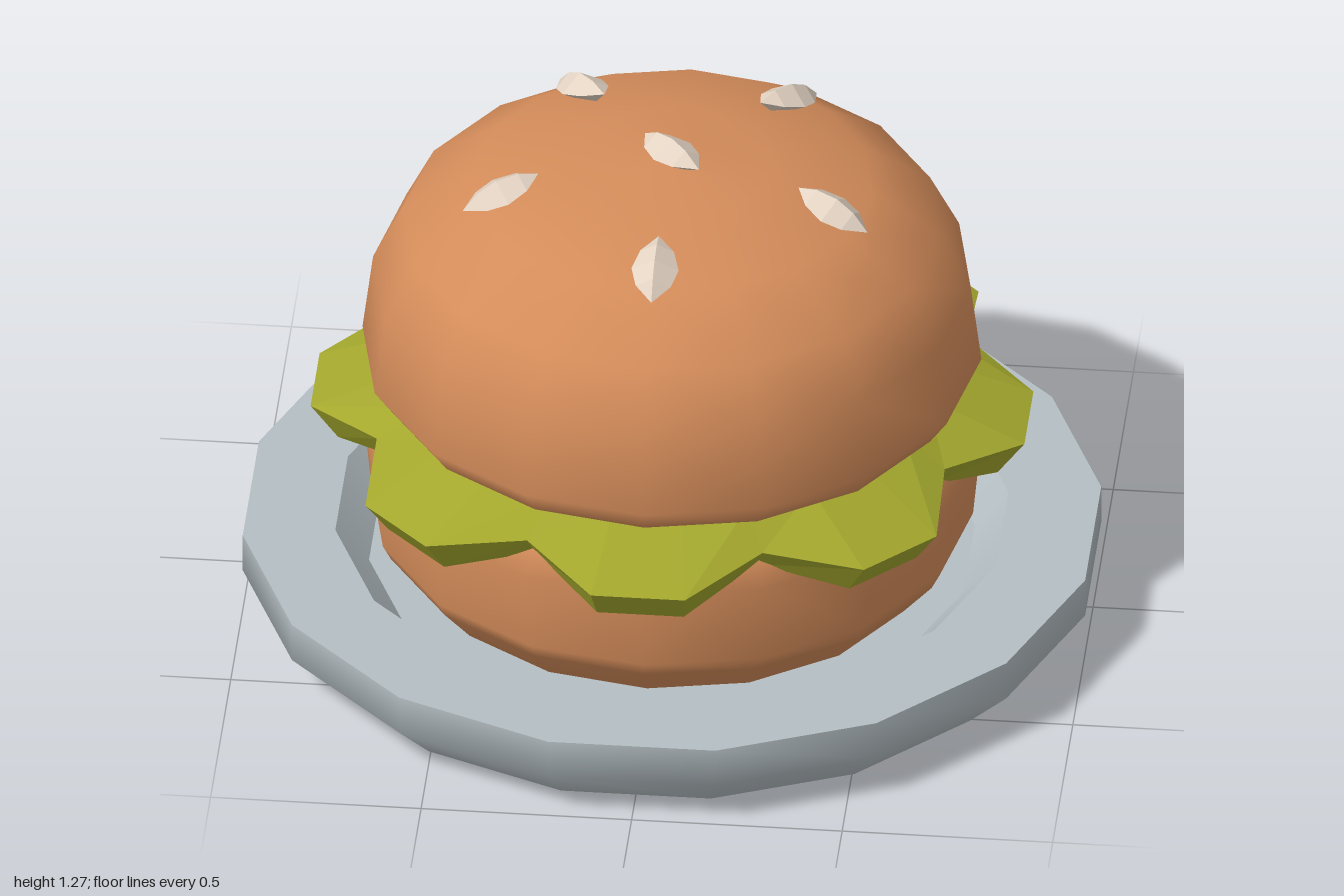
import * as THREE from 'three';
import { mergeGeometries } from 'three/addons/utils/BufferGeometryUtils.js';

const SIDES = 16;

// Each strip is smooth by itself; edges between strips stay sharp.
function turned(...strips) {
  return mergeGeometries(strips.map((strip) =>
    new THREE.LatheGeometry(strip.map(([r, y]) => new THREE.Vector2(r, y)), SIDES)));
}

// Wavy leaf: eight drooping lobes with raised valleys between them.
function leafGeometry() {
  const n = 24;
  const rings = [
    () => [0, 0.53],
    () => [0.62, 0.54],
    (valley) => (valley ? [0.685, 0.5] : [0.79, 0.44]),
    (valley) => (valley ? [0.73, 0.56] : [0.855, 0.53]),
    () => [0.62, 0.625],
    () => [0, 0.625],
  ];
  const positions = [];
  const index = [];
  rings.forEach((ring, i) => {
    for (let j = 0; j < n; j++) {
      const a = ((j + 0.5) / n) * Math.PI * 2;
      const [r, y] = ring(j % 3 === 1);
      positions.push(r * Math.sin(a), y, r * Math.cos(a));
      if (i === 0) continue;
      const k = (j + 1) % n;
      const low = (i - 1) * n;
      const high = i * n;
      if (i > 1) index.push(low + j, low + k, high + k);
      else index.push(low + j, high + k, high + j);
      if (i > 1 && i < rings.length - 1) index.push(low + j, high + k, high + j);
    }
  });
  const geometry = new THREE.BufferGeometry();
  geometry.setAttribute('position', new THREE.Float32BufferAttribute(positions, 3));
  geometry.setIndex(index);
  const flat = geometry.toNonIndexed();
  flat.computeVertexNormals();
  return flat;
}

export function createModel() {
  const group = new THREE.Group();
  const material = (name, color, flatShading = false) => {
    const m = new THREE.MeshStandardMaterial({ color, flatShading });
    m.name = name;
    return m;
  };
  const plateGrey = material('plateGrey', 0xb4bec2);
  const bunBrown = material('bunBrown', 0xd48c5a);
  const leafGreen = material('leafGreen', 0xa3a72d, true);
  const seedCream = material('seedCream', 0xe3d3c3, true);

  const add = (name, geometry, mat) => {
    const mesh = new THREE.Mesh(geometry, mat);
    mesh.name = name;
    group.add(mesh);
    return mesh;
  };

  // Plate with a bevelled foot, flat rim and sunken floor
  const plate = add('plate', turned(
    [[0, 0], [0.91, 0]],
    [[0.91, 0], [1.02, 0.11], [1.02, 0.21]],
    [[1.02, 0.21], [0.8, 0.21]],
    [[0.8, 0.21], [0.72, 0.12]],
    [[0.72, 0.12], [0, 0.12]],
  ), plateGrey);
  plate.rotation.y = Math.PI / SIDES;

  // Buns
  add('bottomBun', turned(
    [[0, 0.12], [0.62, 0.12]],
    [[0.62, 0.12], [0.695, 0.21], [0.715, 0.25], [0.735, 0.46], [0.7, 0.52]],
    [[0.7, 0.52], [0, 0.52]],
  ), bunBrown);
  add('topBun', turned(
    [[0, 0.62], [0.69, 0.625]],
    [[0.69, 0.625], [0.735, 0.69], [0.71, 0.89], [0.638, 1.035], [0.475, 1.15], [0.24, 1.202], [0, 1.22]],
  ), bunBrown);

  add('lettuce', leafGeometry(), leafGreen);

  // Four-sided pointed seeds: x, y, z, turn about the vertical, tilt of the outer end
  const seedShape = new THREE.LatheGeometry(
    [[0, -0.1], [0.04, -0.055], [0.056, 0], [0.042, 0.05], [0, 0.1]]
      .map(([r, y]) => new THREE.Vector2(r, y)), 4);
  seedShape.rotateX(Math.PI / 2).scale(1, 0.65, 1);
  const seeds = [
    [0, 1.235, 0, Math.PI / 4, 0],
    [0, 1.18, 0.42, 0, 0.32],
  ];
  for (const s of [-1, 1]) {
    seeds.push([s * 0.395, 1.18, 0.13, s * 1.13, 0.32]);
    seeds.push([s * 0.245, 1.182, -0.33, s * 2.46, 0.32]);
  }
  for (const [x, y, z, turn, tilt] of seeds) {
    const seed = add('seed', seedShape, seedCream);
    seed.position.set(x, y, z);
    seed.rotation.set(tilt, turn, 0, 'YXZ');
  }
  return group;
}
